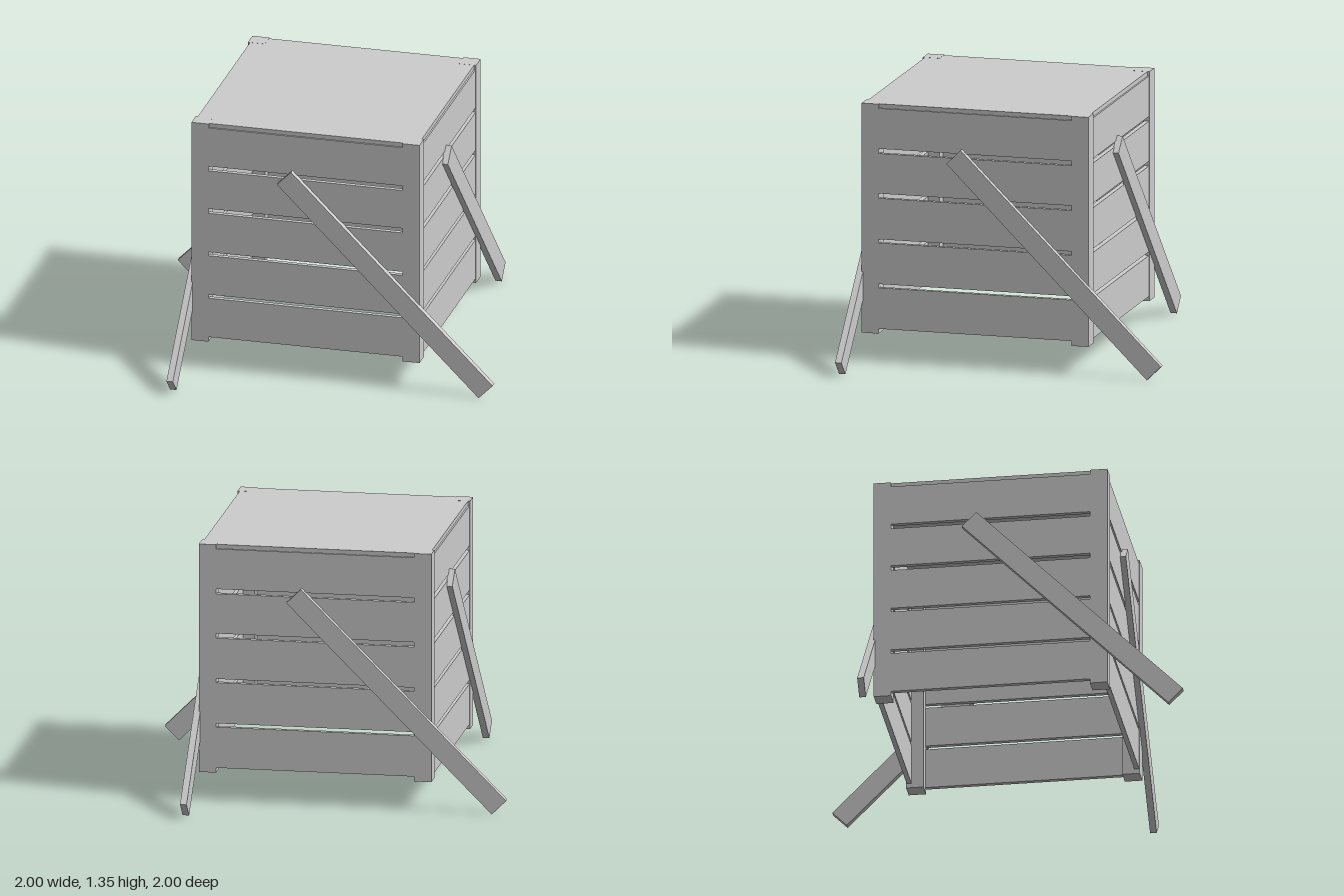
import * as THREE from 'three';

export function createModel() {
  const model = new THREE.Group();
  model.name = 'slattedCrate';
  const grey = new THREE.MeshStandardMaterial({ color: 0xcccccc });
  grey.name = 'light grey';

  const addBox = (parent, name, size, position) => {
    const mesh = new THREE.Mesh(new THREE.BoxGeometry(...size), grey);
    mesh.name = name;
    mesh.position.set(...position);
    parent.add(mesh);
    return mesh;
  };

  // Bottom and top height of each slat
  const slats = [[0.175, 0.39], [0.41, 0.625], [0.645, 0.86], [0.885, 1.095], [1.12, 1.332]];

  // Four identical sides, each turned a quarter about the vertical axis
  for (let i = 0; i < 4; i++) {
    const side = new THREE.Group();
    side.name = 'side' + (i + 1);
    side.rotation.y = i * Math.PI / 2;
    model.add(side);

    // Square corner post
    addBox(side, 'cornerPost', [0.09, 1.205, 0.09], [0.56, 0.7525, 0.56]);

    // Slats between the posts, almost flush with them
    for (const [low, high] of slats) {
      addBox(side, 'slat', [1.03, high - low, 0.025], [0, (low + high) / 2, 0.59]);
    }

    // Slanted leg fixed to the outside
    const leg = addBox(side, 'slantedLeg', [1.513, 0.106, 0.034], [0.4275, 0.5725, 0.615]);
    leg.rotation.z = -Math.PI / 4;
  }

  // Lid set between the post tops
  addBox(model, 'lid', [1.188, 0.025, 1.188], [0, 1.342, 0]);

  return model;
}
